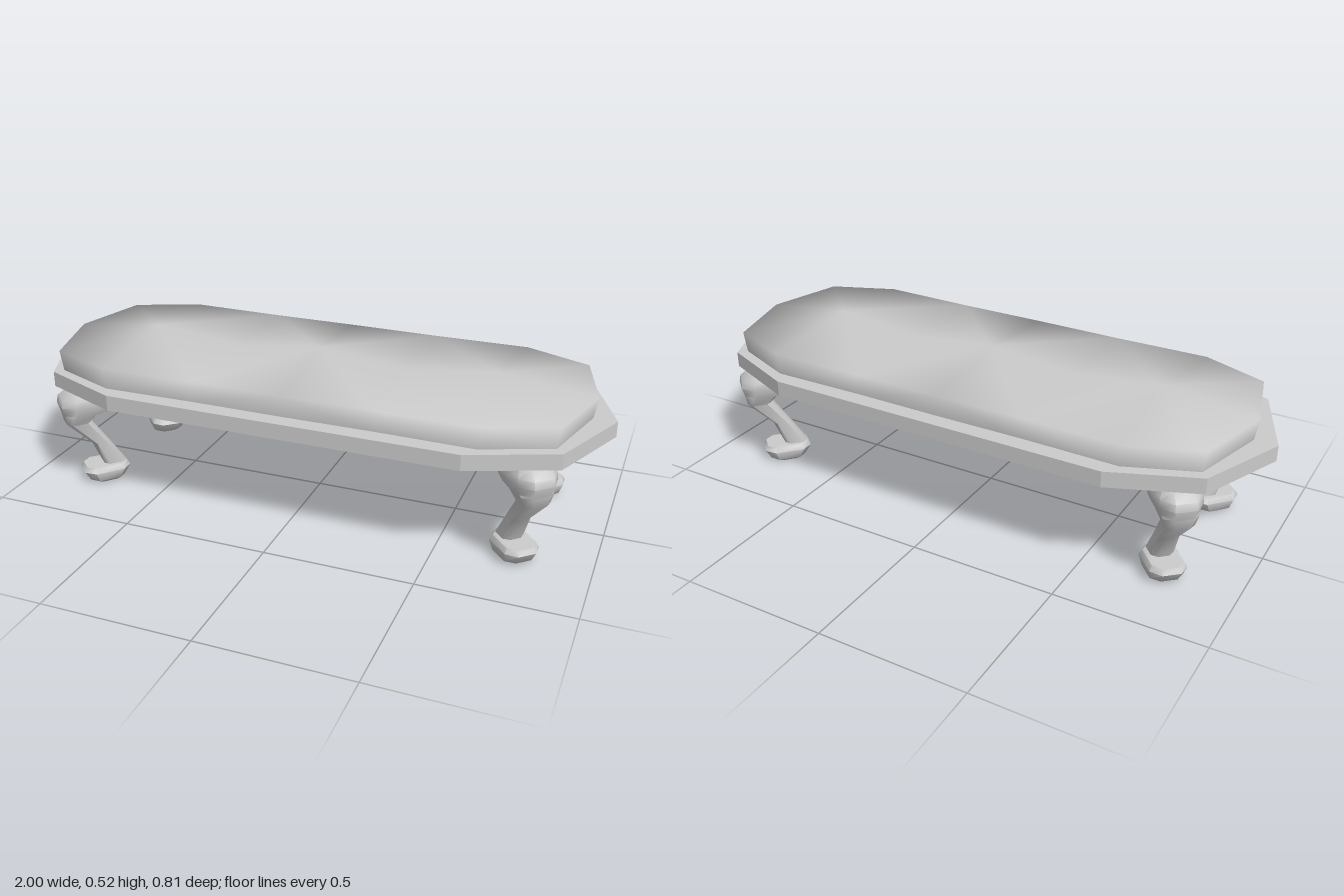
import * as THREE from 'three';
import { toCreasedNormals } from 'three/addons/utils/BufferGeometryUtils.js';

const material = new THREE.MeshStandardMaterial({ color: 0xcccccc });

function fromTriangles(points, crease) {
  const geometry = new THREE.BufferGeometry();
  geometry.setAttribute('position', new THREE.Float32BufferAttribute(points.flat(), 3));
  return toCreasedNormals(geometry, crease);
}

function part(name, geometry) {
  const mesh = new THREE.Mesh(geometry, material);
  mesh.name = name;
  return mesh;
}

// Flat board with pointed ends
function createBoard() {
  const quarter = [[1, 0], [0.88, 0.29], [0.6, 0.405]];
  const half = [...quarter, ...quarter.map(([x, z]) => [-x, z]).reverse()];
  const outline = [...half, ...half.slice(1, -1).map(([x, z]) => [x, -z]).reverse()];
  const shape = new THREE.Shape(outline.map(([x, z]) => new THREE.Vector2(x, z)));
  const geometry = new THREE.ExtrudeGeometry(shape, { depth: 0.053, bevelEnabled: false });
  return geometry.rotateX(-Math.PI / 2).translate(0, 0.36, 0);
}

// Padded cushion with three tufted peaks: one quarter, mirrored four ways
function createCushion() {
  const rim = [[0.935, 0.485, 0], [0.865, 0.484, 0.265], [0.64, 0.485, 0.355], [0.31, 0.485, 0.35], [0, 0.485, 0.352]];
  const endPeak = [0.62, 0.523, 0], dip = [0.31, 0.49, 0], midPeak = [0, 0.523, 0];
  const quarter = [
    [endPeak, rim[1], rim[0]], [endPeak, rim[2], rim[1]], [endPeak, rim[3], rim[2]],
    [endPeak, dip, rim[3]], [dip, midPeak, rim[3]], [midPeak, rim[4], rim[3]],
  ];
  const base = rim.map(([x, , z]) => [x * 0.988, 0.412, z * 0.99]);
  for (let i = 0; i < 4; i++) {
    quarter.push([base[i], rim[i], rim[i + 1]], [base[i], rim[i + 1], base[i + 1]]);
  }
  const points = [];
  for (const sx of [1, -1]) for (const sz of [1, -1]) {
    for (const triangle of quarter) {
      const t = triangle.map(([x, y, z]) => [x * sx, y, z * sz]);
      if (sx * sz < 0) t.reverse();
      points.push(...t);
    }
  }
  return fromTriangles(points, 1.9);
}

// Curved leg facing +x, lofted through chamfered sections
function createLeg() {
  // height, inner x, outer x, width
  const sections = [
    [0, -0.085, 0.0, 0.08],
    [0.012, -0.105, 0.022, 0.11],
    [0.045, -0.125, 0.04, 0.125],
    [0.062, -0.115, 0.03, 0.105],
    [0.063, -0.115, -0.035, 0.075],
    [0.15, -0.06, 0.0, 0.07],
    [0.24, 0.0, 0.085, 0.09],
    [0.272, -0.03, 0.09, 0.115],
    [0.28, -0.08, 0.092, 0.12],
    [0.31, -0.105, 0.1, 0.14],
    [0.335, -0.1, 0.095, 0.135],
    [0.361, -0.06, 0.06, 0.11],
  ];
  const corners = [[1, 0.5], [1, -0.5], [0.6, -1], [-0.6, -1], [-1, -0.5], [-1, 0.5], [-0.6, 1], [0.6, 1]];
  const rings = sections.map(([y, a, b, w]) =>
    corners.map(([u, v]) => [(a + b) / 2 + u * (b - a) / 2, y, v * w / 2]));
  const points = [];
  const n = corners.length;
  for (let r = 0; r < rings.length - 1; r++) {
    for (let i = 0; i < n; i++) {
      const j = (i + 1) % n, low = rings[r], high = rings[r + 1];
      points.push(low[i], low[j], high[j], low[i], high[j], high[i]);
    }
  }
  const bottom = rings[0], top = rings[rings.length - 1];
  for (let i = 1; i < n - 1; i++) {
    points.push(bottom[0], bottom[i + 1], bottom[i], top[0], top[i], top[i + 1]);
  }
  return fromTriangles(points, 0.95);
}

export function createModel() {
  const model = new THREE.Group();
  model.name = 'bench';
  model.add(part('board', createBoard()), part('cushion', createCushion()));

  // Four legs turned outward toward the corners
  const leg = createLeg();
  for (const sx of [1, -1]) for (const sz of [1, -1]) {
    const mesh = part(`${sz > 0 ? 'front' : 'back'}${sx > 0 ? 'Left' : 'Right'}Leg`, leg);
    mesh.position.set(sx * 0.775, 0, sz * 0.257);
    mesh.rotation.y = -Math.atan2(sz * 0.74, sx * 0.67);
    model.add(mesh);
  }
  return model;
}
